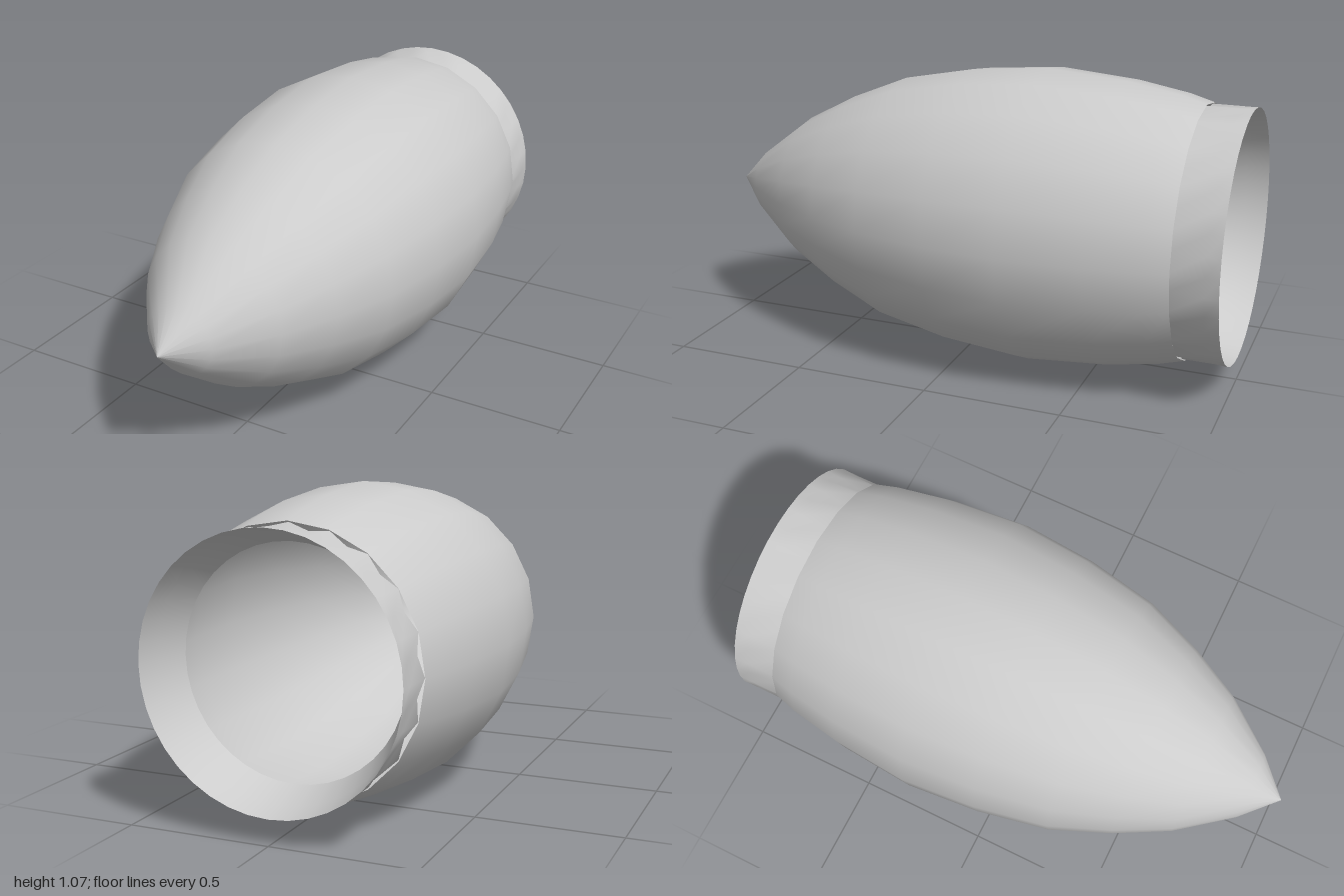
import * as THREE from 'three';

const material = new THREE.MeshStandardMaterial({ color: 0xcccccc, side: THREE.DoubleSide });
const AXIS_Y = 0.537;

// Revolve [radius, z] pairs around the long z axis
function revolve(name, profile, sides) {
  const points = profile.map(([r, z]) => new THREE.Vector2(r, z));
  const geometry = new THREE.LatheGeometry(points, sides);
  geometry.rotateX(Math.PI / 2);
  const mesh = new THREE.Mesh(geometry, material);
  mesh.name = name;
  return mesh;
}

export function createModel() {
  const model = new THREE.Group();
  model.name = 'pointedShell';

  // Hollow pointed body, open at the back
  model.add(revolve('body', [
    [0.455, -0.84], [0.48, -0.75], [0.513, -0.56], [0.537, -0.27], [0.513, 0.01],
    [0.46, 0.28], [0.37, 0.5], [0.27, 0.69], [0.125, 0.88], [0, 1],
  ], 20));

  // Collar skin: round rear rim, crumpled where it meets the body
  const collar = revolve('collar', [[0.45, -1], [0.45, -0.95], [0.45, -0.83]], 40);
  const p = collar.geometry.attributes.position;
  for (let i = 0; i < p.count; i++) {
    const ring = i % 3;
    const column = Math.floor(i / 3) % 40;
    const dent = [0, 0.005, 0.02][ring] * (column % 2);
    const s = 1 - dent / 0.45;
    p.setXY(i, p.getX(i) * s, p.getY(i) * s);
  }
  collar.geometry.computeVertexNormals();
  model.add(collar);

  // Inner wall of the collar, tapering to the opening of the body
  model.add(revolve('collarInnerWall', [[0.45, -1], [0.43, -0.92], [0.39, -0.82]], 40));

  model.children.forEach((part) => { part.position.y = AXIS_Y; });
  return model;
}
